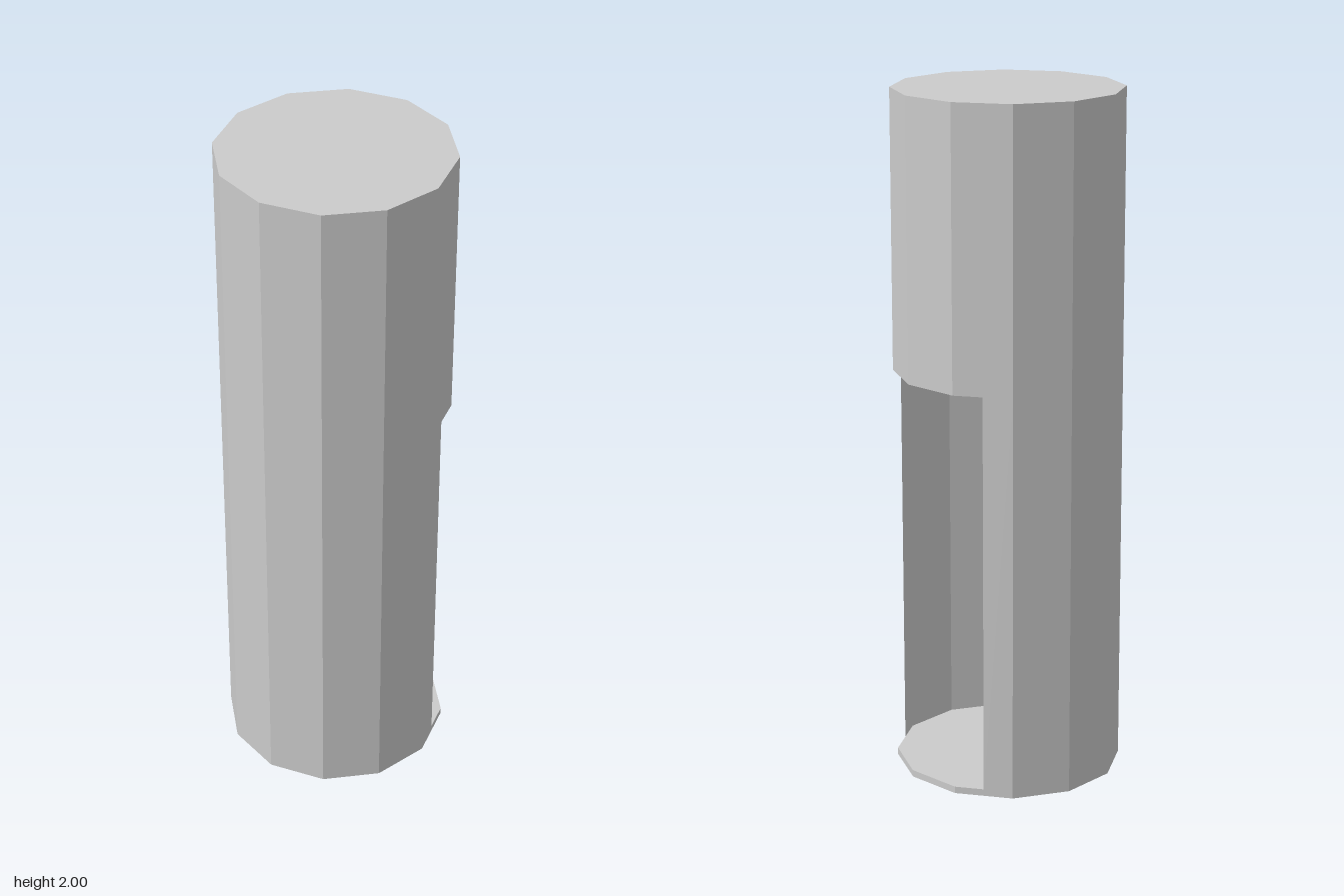
import * as THREE from 'three';

const RADIUS = 0.33, SIDES = 12;
const HEIGHT = 2, OPEN_BOTTOM = 0.02, OPEN_TOP = 1.19;

const material = new THREE.MeshStandardMaterial({ color: 0xcccccc, flatShading: true });
const thinMaterial = new THREE.MeshStandardMaterial({ color: 0xcccccc, flatShading: true, side: THREE.DoubleSide });

// Closed twelve-sided block between two heights
function block(name, y0, y1) {
  const mesh = new THREE.Mesh(new THREE.CylinderGeometry(RADIUS, RADIUS, y1 - y0, SIDES), material);
  mesh.position.y = (y0 + y1) / 2;
  mesh.name = name;
  return mesh;
}

// Thin three-quarter wall, cut mid-facet on both sides of the opening at +x
function openWall(name, y0, y1) {
  const corner = (deg) => {
    const a = THREE.MathUtils.degToRad(deg);
    return new THREE.Vector2(Math.cos(a) * RADIUS, Math.sin(a) * RADIUS);
  };
  const outline = [corner(30).lerp(corner(60), 0.5)];
  for (let deg = 60; deg <= 300; deg += 360 / SIDES) outline.push(corner(deg));
  outline.push(corner(300).lerp(corner(330), 0.5));

  const positions = [], indices = [];
  outline.forEach((p, i) => {
    positions.push(p.x, y0, p.y, p.x, y1, p.y);
    if (i > 0) {
      const a = 2 * (i - 1), b = 2 * i;
      indices.push(a, a + 1, b, b, a + 1, b + 1);
    }
  });
  const geometry = new THREE.BufferGeometry();
  geometry.setAttribute('position', new THREE.Float32BufferAttribute(positions, 3));
  geometry.setIndex(indices);
  const flat = geometry.toNonIndexed();
  flat.computeVertexNormals();
  const mesh = new THREE.Mesh(flat, thinMaterial);
  mesh.name = name;
  return mesh;
}

export function createModel() {
  const group = new THREE.Group();
  group.name = 'openColumn';
  group.add(
    block('baseDisc', 0, OPEN_BOTTOM),
    openWall('chamberWall', OPEN_BOTTOM, OPEN_TOP),
    block('upperBlock', OPEN_TOP, HEIGHT)
  );
  return group;
}
